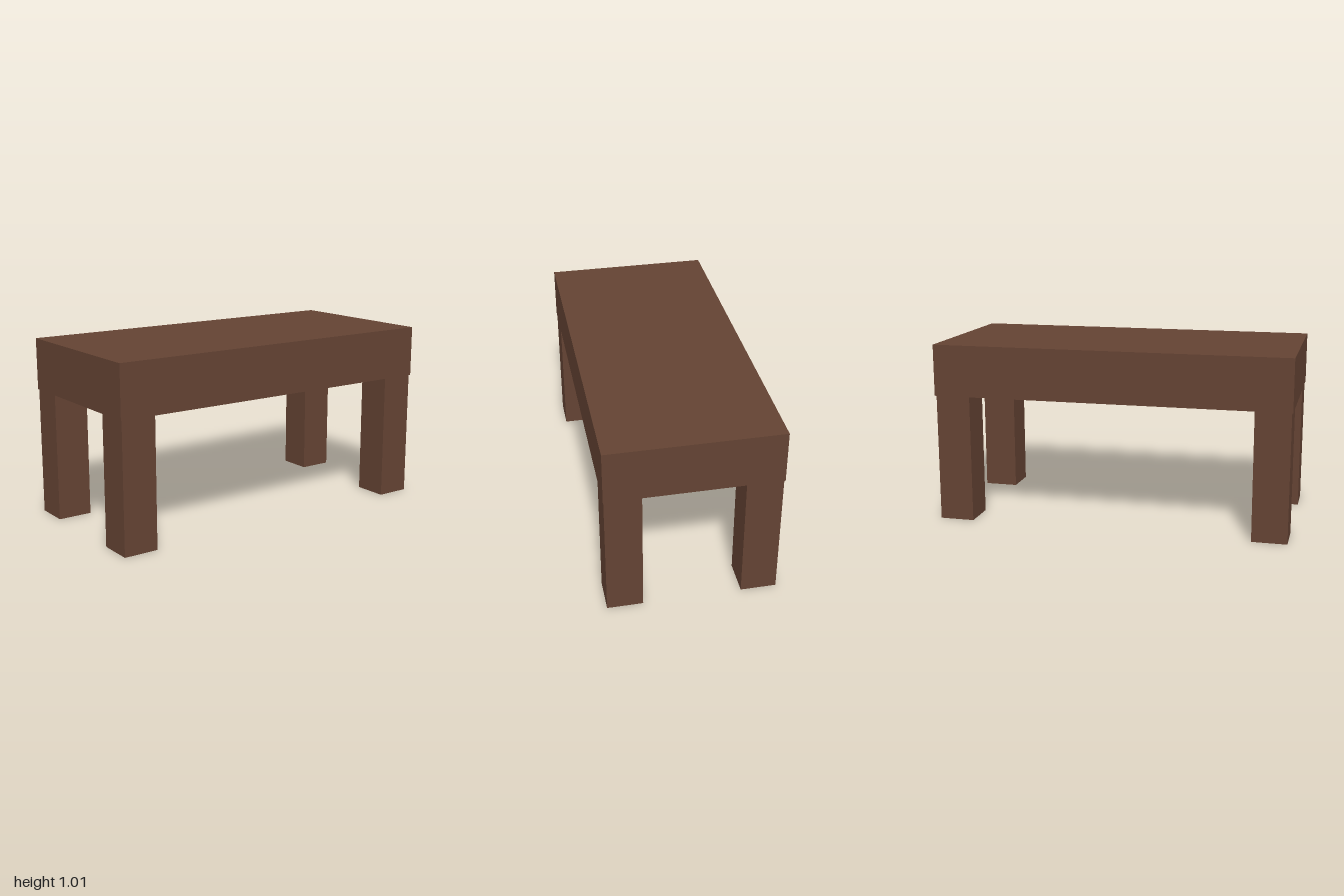
import * as THREE from 'three';

export function createModel() {
  const group = new THREE.Group();
  group.name = 'table';
  const wood = new THREE.MeshStandardMaterial({ color: 0x644333, flatShading: true });

  const addBox = (name, size, position) => {
    const mesh = new THREE.Mesh(new THREE.BoxGeometry(...size), wood);
    mesh.name = name;
    mesh.position.set(...position);
    group.add(mesh);
  };

  // Thick slab top
  const legHeight = 0.72, topThickness = 0.29;
  addBox('tableTop', [2, topThickness, 0.934], [0, legHeight + topThickness / 2, 0]);

  // Four square legs, set in slightly from the edges of the top
  const legWidth = 0.195;
  for (const [side, x] of [['Left', 0.893], ['Right', -0.897]]) {
    for (const [end, z] of [['front', 0.366], ['back', -0.366]]) {
      addBox(`${end}${side}Leg`, [legWidth, legHeight, legWidth], [x, legHeight / 2, z]);
    }
  }
  return group;
}
